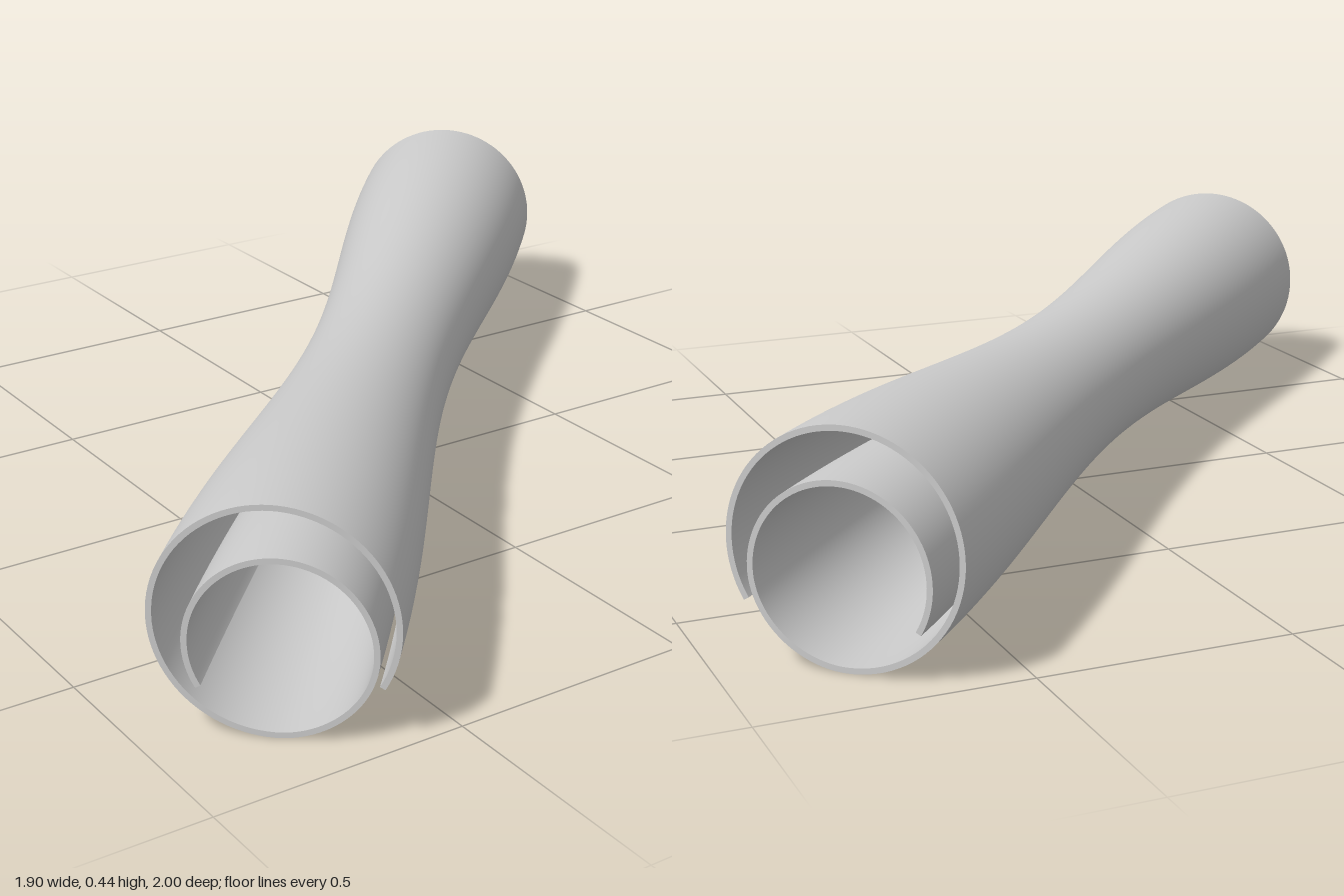
import * as THREE from 'three';
import { ParametricGeometry } from 'three/addons/geometries/ParametricGeometry.js';
import { mergeGeometries } from 'three/addons/utils/BufferGeometryUtils.js';

const LENGTH = 2.32;
const RADIUS = 0.222; // outer turn
const INNER = 0.173; // inner turn, resting on the bottom of the outer one
const THICK = 0.011;
const START = -Math.PI / 6; // outer free edge
const END = START + (600 / 180) * Math.PI; // inner free edge
const BOTTOM = 1.5 * Math.PI; // where the outer turn passes into the inner one

// Point on the rolled sheet: u along the roll, d through the thickness, v along the axis
function sheetPoint(u, d, v, target) {
  const angle = THREE.MathUtils.lerp(START, END, u);
  const inside = angle > BOTTOM;
  const r = (inside ? INNER : RADIUS) - THICK * d;
  const cx = 0.011 * THREE.MathUtils.smoothstep(angle, BOTTOM, BOTTOM + Math.PI / 2);
  const cy = inside ? INNER - RADIUS : 0;
  // waist in the middle of the length
  const scale = 0.862 - 0.138 * Math.cos((2 * v - 1) * Math.PI);
  target.set(
    (cx + r * Math.cos(angle)) * scale,
    (cy + r * Math.sin(angle)) * scale,
    (v - 0.5) * LENGTH
  );
}

export function createModel() {
  const group = new THREE.Group();
  group.name = 'rolledSheet';

  const TURN = 160, LONG = 48;
  const face = (fn, slices, stacks) => new ParametricGeometry(fn, slices, stacks);
  const geometry = mergeGeometries([
    // outer and inner faces of the sheet
    face((u, v, t) => sheetPoint(u, 0, v, t), TURN, LONG),
    face((u, v, t) => sheetPoint(1 - u, 1, v, t), TURN, LONG),
    // long free edges
    face((u, v, t) => sheetPoint(0, 1 - u, v, t), 1, LONG),
    face((u, v, t) => sheetPoint(1, u, v, t), 1, LONG),
    // spiral rims at both ends
    face((u, v, t) => sheetPoint(u, v, 1, t), TURN, 1),
    face((u, v, t) => sheetPoint(1 - u, v, 0, t), TURN, 1),
  ]);

  const sheet = new THREE.Mesh(
    geometry,
    new THREE.MeshStandardMaterial({ color: 0xcccccc, side: THREE.DoubleSide })
  );
  sheet.name = 'sheet';
  sheet.position.y = RADIUS;
  sheet.rotation.y = Math.atan2(-0.79, 0.85); // lies diagonally
  group.add(sheet);
  return group;
}
